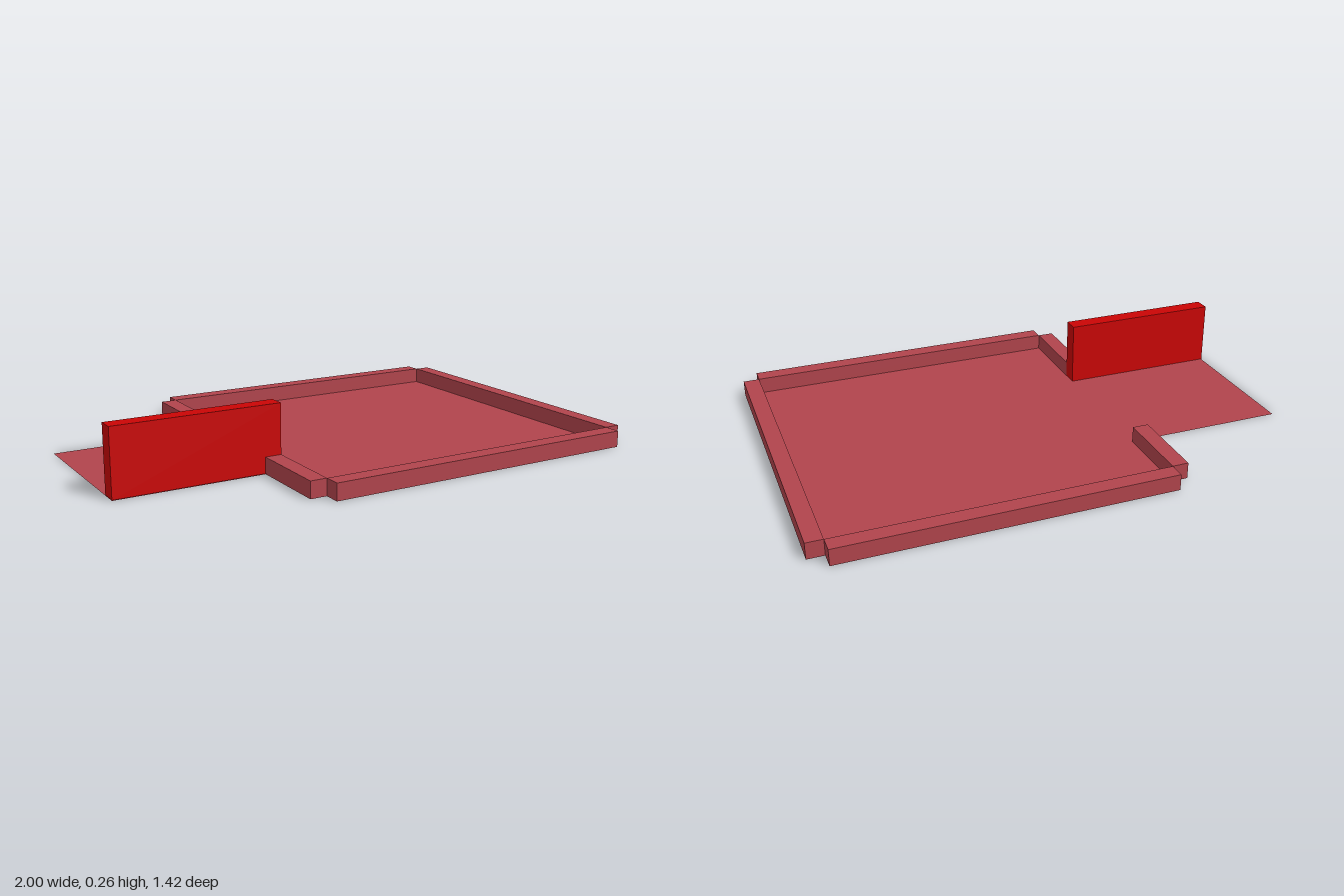
import * as THREE from 'three';

const U = 2 / 31; // the whole plan sits on a 31 x 22 unit grid

export function createModel() {
  const model = new THREE.Group();
  model.name = 'walledCourt';

  const dustyRed = new THREE.MeshStandardMaterial({ color: 0xb0444c, side: THREE.DoubleSide });
  dustyRed.name = 'dusty red';
  const brightRed = new THREE.MeshStandardMaterial({ color: 0xca0505 });
  brightRed.name = 'bright red';

  // Box from grid extents; x runs 0..31 from the right end, z runs -11..11
  function wall(name, x0, x1, z0, z1, height, material, base = 0) {
    const geometry = new THREE.BoxGeometry((x1 - x0) * U, height * U - base, (z1 - z0) * U);
    const mesh = new THREE.Mesh(geometry, material);
    mesh.name = name;
    mesh.position.set(((x0 + x1) / 2) * U - 1, (height * U + base) / 2, ((z0 + z1) / 2) * U);
    model.add(mesh);
  }

  // Paper-thin floor: square court with a narrower entrance strip
  const outline = [[0, -5], [10, -5], [10, -10], [30, -10], [30, 10], [10, 10], [10, 5], [0, 5]];
  const shape = new THREE.Shape(outline.map(([x, z]) => new THREE.Vector2(x * U - 1, -z * U)));
  const floor = new THREE.Mesh(new THREE.ShapeGeometry(shape).rotateX(-Math.PI / 2), dustyRed);
  floor.name = 'floor';
  model.add(floor);

  // Low border walls, with notched outer corners
  wall('frontWall', 10, 30, 10, 11, 1, dustyRed);
  wall('backWall', 10, 30, -11, -10, 1, dustyRed);
  wall('endWall', 30, 31, -10, 10, 1, dustyRed);
  wall('entranceWallFront', 9, 10, 5, 10, 1, dustyRed);
  wall('entranceWallBack', 9, 10, -10, -5, 1, dustyRed);

  // Tall panel along the entrance, resting just above the floor sheet
  wall('entrancePanel', 0, 10, 4, 5, 4, brightRed, 0.002);

  return model;
}
